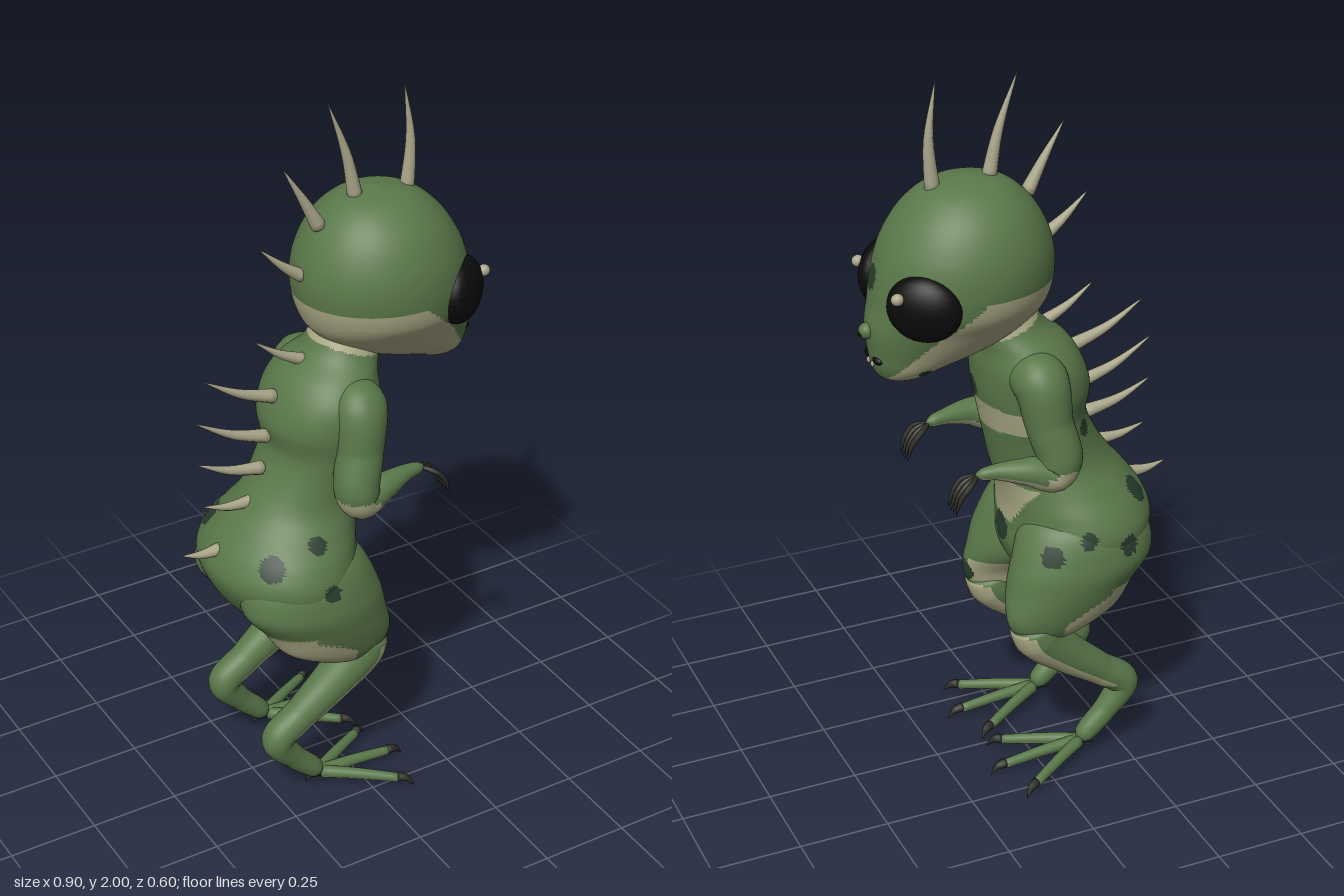
import * as THREE from 'three';
import { mergeVertices } from 'three/addons/utils/BufferGeometryUtils.js';

const mat = (name, color) => {
  const m = new THREE.MeshStandardMaterial({ color });
  m.name = name;
  return m;
};
const skin = mat('green skin', 0x5a784a);
const cream = mat('cream underside', 0xaaa986);
const spot = mat('dark green spots', 0x293d2d);
const horn = mat('pale horn', 0xaaa68a);
const black = mat('black', 0x0b0b0b);
const claw = mat('dark claw', 0x2e2e28);

// Dark spots on the skin: x, y, z, radius
const SPOTS = [
  [-0.27, 0.79, 0.17, 0.037], [-0.145, 0.84, 0.195, 0.026], [-0.13, 0.715, 0.265, 0.028],
  [-0.28, 0.8, -0.13, 0.042], [-0.22, 0.7, -0.24, 0.03], [-0.1, 0.74, -0.255, 0.028],
  [-0.345, 0.66, -0.06, 0.034], [-0.14, 1.02, -0.13, 0.025], [0.0, 0.7, -0.225, 0.034],
  [0.05, 0.695, 0.015, 0.042], [0.09, 0.495, 0.155, 0.036], [0.1, 0.51, -0.12, 0.025],
  [0.115, 1.13, 0.03, 0.032], [0.4, 1.49, 0.03, 0.035], [0.4, 1.42, 0.07, 0.028],
  [0.3, 1.245, -0.09, 0.018],
];

// Sorts triangles into skin, cream and spot groups
function paint(geo, isCream) {
  const p = geo.attributes.position, idx = geo.index.array, lists = [[], [], []];
  const t = new THREE.Triangle(), c = new THREE.Vector3(), n = new THREE.Vector3();
  for (let i = 0; i < idx.length; i += 3) {
    t.setFromAttributeAndIndices(p, idx[i], idx[i + 1], idx[i + 2]);
    t.getMidpoint(c);
    t.getNormal(n);
    const dark = SPOTS.some(([x, y, z, r]) => Math.hypot(c.x - x, c.y - y, c.z - z) < r);
    lists[dark ? 2 : isCream(c, n) ? 1 : 0].push(idx[i], idx[i + 1], idx[i + 2]);
  }
  geo.setIndex(lists.flat());
  let start = 0;
  lists.forEach((l, k) => { geo.addGroup(start, l.length, k); start += l.length; });
  return geo;
}

// Skin through level oval rings, top to bottom: y, xMin, xMax, zCentre, zRadius
function loft(rings, rows = 120, segs = 110) {
  const a = new THREE.CatmullRomCurve3(rings.map(r => new THREE.Vector3(r[0], r[1], r[2])), false, 'catmullrom');
  const b = new THREE.CatmullRomCurve3(rings.map(r => new THREE.Vector3(r[3], r[4], 0)), false, 'catmullrom');
  const pos = [], idx = [];
  for (let i = 0; i <= rows; i++) {
    const u = a.getPoint(i / rows), v = b.getPoint(i / rows);
    for (let j = 0; j < segs; j++) {
      const w = j / segs * Math.PI * 2;
      pos.push((u.y + u.z) / 2 + (u.z - u.y) / 2 * Math.cos(w), u.x, v.x + v.y * Math.sin(w));
      if (i === rows) continue;
      const k = i * segs + j, l = i * segs + (j + 1) % segs;
      idx.push(k, l, k + segs, l, l + segs, k + segs);
    }
  }
  const g = new THREE.BufferGeometry();
  g.setAttribute('position', new THREE.Float32BufferAttribute(pos, 3));
  g.setIndex(idx);
  const m = mergeVertices(g, 1e-5);
  m.computeVertexNormals();
  return m;
}

// Rounded tapering tube through points: x, y, z, radius
function limb(pts, n = 16, segs = 10) {
  const curve = new THREE.CatmullRomCurve3(pts.map(p => new THREE.Vector3(p[0], p[1], p[2])));
  const g = new THREE.TubeGeometry(curve, n, 1, segs);
  const p = g.attributes.position, v = new THREE.Vector3();
  for (let i = 0; i <= n; i++) {
    const u = i / n, t = curve.getUtoTmapping(u) * (pts.length - 1);
    const k = Math.min(Math.floor(t), pts.length - 2);
    const cap = Math.sqrt(Math.min(1, Math.min(u, 1 - u) / 0.04));
    const r = THREE.MathUtils.lerp(pts[k][3], pts[k + 1][3], t - k) * cap;
    const c = curve.getPointAt(u);
    for (let j = 0; j <= segs; j++) {
      const q = i * (segs + 1) + j;
      v.fromBufferAttribute(p, q).sub(c).multiplyScalar(r).add(c);
      p.setXYZ(q, v.x, v.y, v.z);
    }
  }
  g.deleteAttribute('uv');
  g.deleteAttribute('normal');
  const m = mergeVertices(g, 1e-5);
  m.computeVertexNormals();
  return m;
}

export function createModel() {
  const model = new THREE.Group();
  model.name = 'spinedCreature';
  const hide = [skin, cream, spot];
  const add = (name, geo, material) => {
    const m = new THREE.Mesh(geo, material);
    m.name = name;
    model.add(m);
    return m;
  };
  const ball = (name, x, y, z, rx, ry, rz, material) => {
    const m = add(name, new THREE.SphereGeometry(1, 24, 16), material);
    m.position.set(x, y, z);
    m.scale.set(rx, ry, rz);
    return m;
  };

  // Head, with pale jaw and throat
  add('head', paint(loft([
    [1.742, 0.14, 0.14, 0, 0], [1.72, 0.04, 0.245, 0, 0.093], [1.66, -0.03, 0.32, 0, 0.165],
    [1.58, -0.073, 0.372, 0, 0.205], [1.5, -0.087, 0.398, 0, 0.217], [1.42, -0.075, 0.412, 0, 0.206],
    [1.36, -0.04, 0.424, 0, 0.17], [1.3, 0.05, 0.42, 0, 0.132], [1.25, 0.2, 0.41, 0, 0.092],
    [1.22, 0.27, 0.39, 0, 0.055], [1.206, 0.335, 0.335, 0, 0],
  ]), c => c.y < Math.min(1.465, 1.45 - 1.3 * (c.x - 0.22), 1.36 - 0.9 * (c.x - 0.29))), hide);

  // Neck, trunk and rump, with chest and belly patches
  add('trunk', paint(loft([
    [1.37, -0.03, 0.15, 0, 0.09], [1.31, -0.07, 0.14, 0, 0.11], [1.26, -0.13, 0.125, 0, 0.15],
    [1.2, -0.168, 0.125, 0, 0.182], [1.13, -0.19, 0.12, 0, 0.182], [1.05, -0.182, 0.105, 0, 0.167],
    [0.97, -0.215, 0.09, 0, 0.156], [0.9, -0.26, 0.075, 0, 0.16], [0.84, -0.31, 0.055, 0, 0.193],
    [0.78, -0.352, 0.045, 0, 0.233], [0.72, -0.37, 0.045, 0, 0.253], [0.65, -0.345, 0.045, 0, 0.24],
    [0.58, -0.295, 0.015, 0, 0.18], [0.53, -0.24, -0.05, 0, 0.1], [0.51, -0.15, -0.15, 0, 0],
  ]), (c, n) => {
    const z = Math.abs(c.z);
    const chest = c.x > 0 && (z / 0.165) ** 4 + ((c.y - 1.063) / 0.037) ** 4 < 1;
    const belly = c.x > -0.05 && c.y > 0.73 && c.y < 0.87 - z * 0.1 && z < 0.045 + (c.y - 0.73) * 0.75;
    return chest || belly || c.y > 1.33 - 0.3 * c.x || (c.y < 0.58 && n.y < -0.2);
  }), hide);

  // Spines along the crown and back: base x, y, tip x, y, radius
  [
    [0.235, 1.69, 0.225, 2.0, 0.022], [0.085, 1.7, 0, 1.995, 0.022], [-0.02, 1.65, -0.13, 1.845, 0.022],
    [-0.07, 1.53, -0.2, 1.64, 0.02], [-0.065, 1.285, -0.22, 1.38, 0.019], [-0.15, 1.2, -0.37, 1.305, 0.021],
    [-0.17, 1.085, -0.4, 1.19, 0.021], [-0.19, 0.995, -0.4, 1.065, 0.021], [-0.22, 0.905, -0.385, 0.93, 0.02],
    [-0.33, 0.783, -0.45, 0.797, 0.02],
  ].forEach(([x, y, tx, ty, r]) => add('spine', limb([
    [x, y, 0, r], [x * 0.47 + tx * 0.53 + (ty - y) * 0.05, y * 0.5 + ty * 0.5 + (tx - x) * 0.06, 0, r * 0.6],
    [tx, ty, 0, 0.001],
  ], 14, 10), horn));

  // Nose with nostril
  ball('nose', 0.425, 1.355, 0, 0.022, 0.022, 0.022, skin);
  ball('nostril', 0.443, 1.35, 0, 0.006, 0.008, 0.01, black);

  for (const s of [1, -1]) {
    // Flattened eye turned to follow the face, with raised pale glint
    ball('eye', 0.32, 1.453, s * 0.139, 0.1, 0.09, 0.055, black).rotation.set(0, s * 0.69, 0);
    ball('eyeGlint', 0.392, 1.49, s * 0.138, 0.017, 0.016, 0.016, horn);

    // Mouth corner and small fang
    ball('mouth', 0.406, 1.28, s * 0.028, 0.014, 0.012, 0.021, black);
    ball('fang', 0.416, 1.266, s * 0.014, 0.006, 0.009, 0.005, horn);

    // Arm folded at the elbow
    add('arm', paint(limb([
      [0.02, 1.19, s * 0.07, 0.065], [0.005, 1.193, s * 0.15, 0.076], [-0.01, 1.08, s * 0.18, 0.064],
      [-0.03, 0.985, s * 0.2, 0.062], [-0.015, 0.948, s * 0.2, 0.056], [0.06, 0.962, s * 0.195, 0.038],
      [0.14, 0.97, s * 0.178, 0.022], [0.2, 0.965, s * 0.168, 0.014],
    ], 80, 40), (c, n) => c.y < 0.965 && n.y < (c.x < 0.02 ? 0.1 : -0.35)), hide);

    // Drooping fingers
    for (let i = 0; i < 4; i++) {
      const z = s * (0.143 + i * 0.018);
      add('finger', limb([[0.19, 0.965, s * 0.168, 0.006], [0.225, 0.95, z, 0.008],
        [0.25, 0.92, z, 0.007], [0.266, 0.872, z, 0.001]], 12, 8), claw);
    }

    // Heavy thigh blending into the hip
    add('thigh', paint(loft([
      [0.82, -0.13, -0.13, s * 0.09, 0], [0.8, -0.2, -0.05, s * 0.09, 0.06],
      [0.75, -0.31, 0.025, s * 0.105, 0.13], [0.65, -0.335, 0.07, s * 0.13, 0.135],
      [0.57, -0.28, 0.09, s * 0.137, 0.12], [0.5, -0.23, 0.1, s * 0.154, 0.085],
      [0.455, -0.16, 0.085, s * 0.155, 0.066], [0.43, -0.1, 0.05, s * 0.155, 0.045],
      [0.42, -0.03, -0.03, s * 0.155, 0],
    ], 80, 80), (c, n) => c.y < 0.575 && ((n.y < -0.3 && c.x < -0.04) || n.y < -0.6
      || (s * n.z < -0.3 && c.y < 0.54))), hide);

    // Shin, hock and instep
    add('lowerLeg', paint(limb([
      [0.03, 0.49, s * 0.155, 0.065], [0.01, 0.43, s * 0.155, 0.07], [-0.075, 0.35, s * 0.155, 0.058],
      [-0.18, 0.27, s * 0.155, 0.046], [-0.252, 0.21, s * 0.155, 0.046], [-0.205, 0.135, s * 0.155, 0.034],
      [-0.15, 0.08, s * 0.155, 0.031], [-0.115, 0.045, s * 0.155, 0.024],
    ], 80, 40), (c, n) => c.y > 0.225 && n.x - n.y > 0.4), hide);

    // Three spread toes and a hind spur, each with a claw
    [[0.1, 0.295], [0.145, 0.155], [0.1, 0.02]].forEach(([x, z]) => {
      const at = (f, y, r) => [-0.125 + (x + 0.125) * f, y, s * (0.155 + (z - 0.155) * f), r];
      add('toe', paint(limb([at(0, 0.048, 0.018), at(0.4, 0.042, 0.016), at(0.75, 0.032, 0.014),
        at(0.9, 0.027, 0.013)], 16, 16), (c, n) => n.y < -0.2), hide);
      add('toeClaw', limb([at(0.84, 0.032, 0.015), at(0.94, 0.028, 0.011), at(1.03, 0.003, 0.001)], 10, 8), claw);
    });
    add('hindSpur', limb([[-0.11, 0.045, s * 0.155, 0.016], [-0.14, 0.048, s * 0.155, 0.014],
      [-0.165, 0.028, s * 0.155, 0.001]], 10, 8), claw);
  }
  return model;
}
